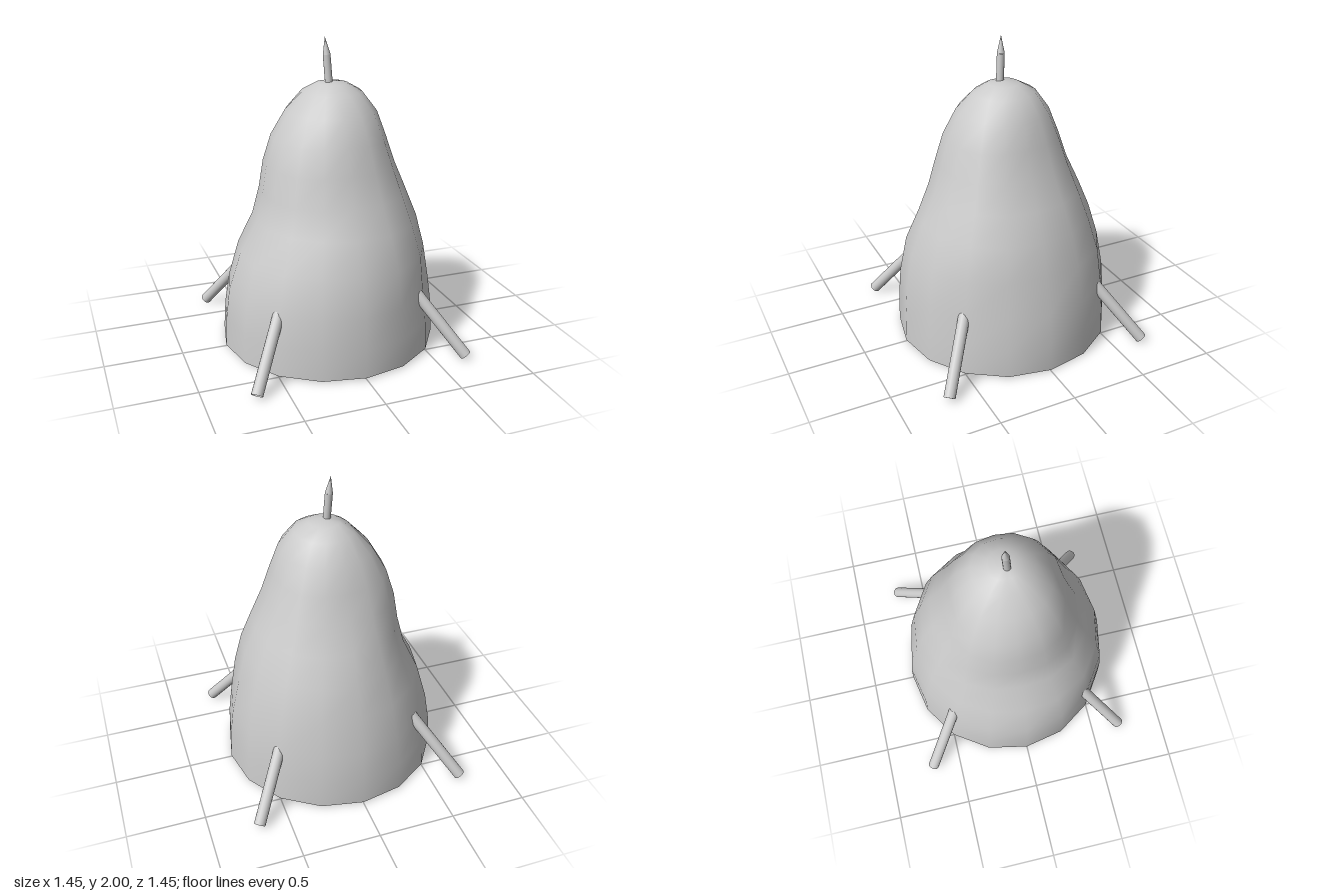
import * as THREE from 'three';

const SIDES = 16;
const UP = new THREE.Vector3(0, 1, 0);
const makeMaterial = () => new THREE.MeshStandardMaterial({ color: 0xcccccc, side: THREE.DoubleSide });

// Height, then radii every 45 degrees, turning from +x towards +z
const RINGS = [
  [0.01, 0.71, 0.71, 0.71, 0.71, 0.71, 0.71, 0.71, 0.71],
  [0.2, 0.702, 0.702, 0.703, 0.704, 0.7, 0.695, 0.702, 0.704],
  [0.4, 0.675, 0.678, 0.685, 0.685, 0.675, 0.657, 0.68, 0.688],
  [0.64, 0.62, 0.655, 0.64, 0.63, 0.595, 0.6, 0.62, 0.655],
  [0.85, 0.57, 0.59, 0.557, 0.528, 0.478, 0.518, 0.558, 0.587],
  [1.03, 0.49, 0.522, 0.475, 0.475, 0.435, 0.463, 0.48, 0.515],
  [1.21, 0.41, 0.452, 0.42, 0.428, 0.407, 0.423, 0.395, 0.438],
  [1.38, 0.357, 0.39, 0.372, 0.37, 0.352, 0.37, 0.343, 0.375],
  [1.54, 0.305, 0.32, 0.295, 0.28, 0.257, 0.283, 0.285, 0.305],
  [1.66, 0.22, 0.22, 0.192, 0.165, 0.14, 0.175, 0.195, 0.22],
  [1.712, 0.13, 0.12, 0.095, 0.08, 0.06, 0.08, 0.095, 0.12],
];

// Radius at side j, smoothly filling in between the listed directions
function radiusAt(radii, j) {
  const at = (k) => radii[(k + 8) % 8];
  const k = Math.floor(j / 2);
  if (j % 2 === 0) return at(k);
  return (9 * (at(k) + at(k + 1)) - at(k - 1) - at(k + 2)) / 16;
}

// Open-bottomed lumpy bell closed by a single apex
function makeShell() {
  const positions = [], indices = [];
  RINGS.forEach(([y, ...radii]) => {
    for (let j = 0; j < SIDES; j++) {
      const a = (j / SIDES) * Math.PI * 2, r = radiusAt(radii, j);
      positions.push(r * Math.cos(a), y, r * Math.sin(a));
    }
  });
  const apex = positions.length / 3;
  positions.push(0.035, 1.728, 0.01);
  for (let i = 0; i < RINGS.length; i++) {
    for (let j = 0; j < SIDES; j++) {
      const a = i * SIDES + j, b = i * SIDES + (j + 1) % SIDES;
      if (i === RINGS.length - 1) indices.push(a, apex, b);
      else indices.push(a, a + SIDES, b, b, a + SIDES, b + SIDES);
    }
  }
  const geometry = new THREE.BufferGeometry();
  geometry.setAttribute('position', new THREE.Float32BufferAttribute(positions, 3));
  geometry.setIndex(indices);
  geometry.computeVertexNormals();
  return geometry;
}

// Open-ended rod between two points, with its own radius at each end
function makeRod(name, from, to, r0, r1) {
  const axis = to.clone().sub(from);
  const rod = new THREE.Mesh(new THREE.CylinderGeometry(r1, r0, axis.length(), 16, 1, true), makeMaterial());
  rod.name = name;
  rod.position.copy(from).addScaledVector(axis, 0.5);
  rod.quaternion.setFromUnitVectors(UP, axis.normalize());
  return rod;
}

export function createModel() {
  const model = new THREE.Group();
  model.name = 'bellOnLegs';

  const shell = new THREE.Mesh(makeShell(), makeMaterial());
  shell.name = 'shell';
  model.add(shell);

  // Four splayed tubular legs through the wall, slightly skewed in a pinwheel
  ['frontLeft', 'backLeft', 'backRight', 'frontRight'].forEach((corner, i) => {
    const turn = (i * Math.PI) / 2;
    const foot = new THREE.Vector3(0.693, 0.026, 0.693).applyAxisAngle(UP, turn);
    const top = new THREE.Vector3(0.418, 0.435, 0.455).applyAxisAngle(UP, turn);
    model.add(makeRod(`${corner}Leg`, foot, top, 0.037, 0.037));
  });

  // Slightly leaning spike with a pointed tip
  const spike = new THREE.Group();
  spike.name = 'topSpike';
  const base = new THREE.Vector3(0.008, 1.69, 0.016);
  const shoulder = new THREE.Vector3(-0.004, 1.89, 0.003);
  const tip = new THREE.Vector3(-0.014, 2, -0.003);
  spike.add(makeRod('spikeShaft', base, shoulder, 0.024, 0.024));
  spike.add(makeRod('spikeTip', shoulder, tip, 0.024, 0));
  model.add(spike);

  return model;
}
